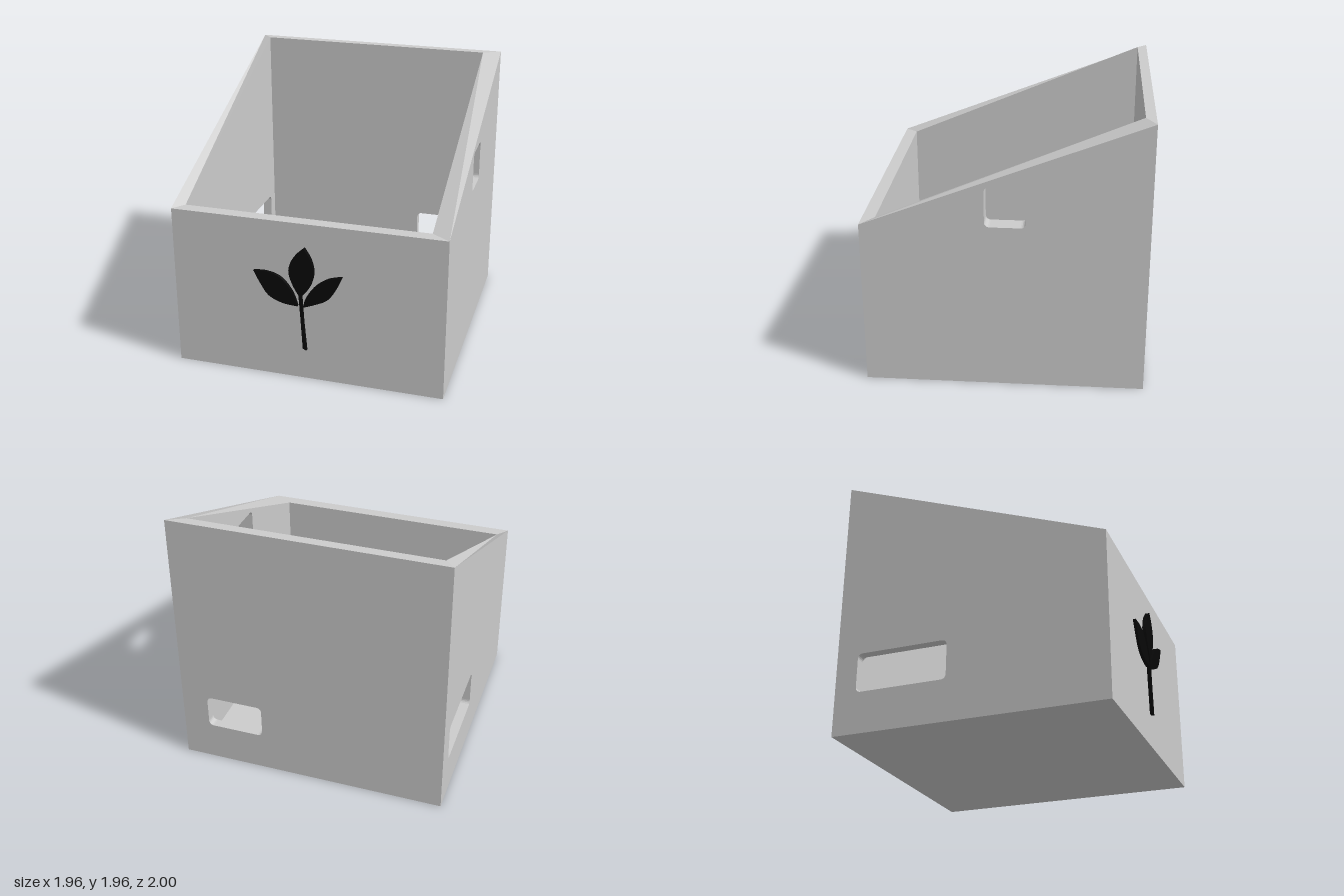
import * as THREE from 'three';

const grey = new THREE.MeshStandardMaterial({ color: 0xcccccc, flatShading: true });
const black = new THREE.MeshStandardMaterial({ color: 0x080808 });
const FLOOR = 0.06, LOW = 1.2, HIGH = 1.96;

// rounded window outline, counter-clockwise
function windowPoints([u0, u1, v0, v1]) {
  const r = 0.035, pts = [];
  const centres = [[u1 - r, v1 - r], [u0 + r, v1 - r], [u0 + r, v0 + r], [u1 - r, v0 + r]];
  centres.forEach(([cu, cv], k) => {
    for (let i = 0; i <= 5; i++) {
      const a = (k + i / 5) * Math.PI / 2;
      pts.push(new THREE.Vector2(cu + r * Math.cos(a), cv + r * Math.sin(a)));
    }
  });
  return pts;
}

// wall facing local +z: outer panel, inset inner panel, sloping rim and window reveal
// outer and inner are [u left, u right, top left, top right]
function wall(name, outer, inner, thick, hole, position, turn) {
  const pos = [];
  const corners = ([a, b, ta, tb], base) =>
    [[a, base], [b, base], [b, tb], [a, ta]].map(p => new THREE.Vector2(...p));
  const out = corners(outer, 0), inn = corners(inner, FLOOR);
  const win = hole ? windowPoints(hole) : [];
  const put = (p, z) => pos.push(p.x, p.y, z);
  const strip = (a, b, c, d) => {
    put(a, 0); put(b, 0); put(c, -thick);
    put(a, 0); put(c, -thick); put(d, -thick);
  };
  const panel = (outline, z, flip) => {
    const all = [...outline, ...win];
    const tris = THREE.ShapeUtils.triangulateShape([...outline], hole ? [[...win]] : []);
    for (const [a, b, c] of tris)
      for (const i of flip ? [a, c, b] : [a, b, c]) put(all[i], z);
  };
  panel(out, 0, false);
  panel(inn, -thick, true);
  strip(out[3], out[2], inn[2], inn[3]);
  win.forEach((p, i) => {
    const q = win[(i + 1) % win.length];
    strip(p, q, q, p);
  });
  const geo = new THREE.BufferGeometry();
  geo.setAttribute('position', new THREE.Float32BufferAttribute(pos, 3));
  geo.computeVertexNormals();
  const mesh = new THREE.Mesh(geo, grey);
  mesh.name = name;
  mesh.position.set(...position);
  mesh.rotation.y = turn;
  return mesh;
}

// horizontal sheet of the floor
function sheet(name, x0, x1, z0, z1, y, up) {
  const mesh = new THREE.Mesh(new THREE.PlaneGeometry(x1 - x0, z1 - z0), grey);
  mesh.name = name;
  mesh.rotation.x = up ? -Math.PI / 2 : Math.PI / 2;
  mesh.position.set((x0 + x1) / 2, y, (z0 + z1) / 2);
  return mesh;
}

// raised sprig piece with a slightly tilted face
function relief(name, points) {
  const geo = new THREE.ExtrudeGeometry(new THREE.Shape(points), { depth: 1, bevelEnabled: false });
  const p = geo.attributes.position;
  for (let i = 0; i < p.count; i++)
    p.setZ(i, p.getZ(i) > 0.5 ? 0.982 + 0.03 * p.getX(i) + 0.01 * p.getY(i) : 0.95);
  geo.computeVertexNormals();
  const mesh = new THREE.Mesh(geo, black);
  mesh.name = name;
  return mesh;
}

// leaf from two smooth sides running tip to base
function leaf(name, tip, sideA, base, sideB) {
  const side = mid => new THREE.SplineCurve(
    [tip, ...mid, base].map(p => new THREE.Vector2(...p))).getPoints(20);
  return relief(name, [...side(sideA), ...side(sideB).reverse().slice(1, -1)]);
}

export function createModel() {
  const model = new THREE.Group();
  model.name = 'planterBox';

  // walls
  model.add(
    wall('frontWall', [-0.98, 0.98, LOW, LOW], [-0.91, 0.85, LOW, LOW], 0.09,
      null, [0, 0, 0.96], 0),
    wall('leftWall', [-0.96, 1, LOW, HIGH], [-0.87, 0.93, LOW, HIGH], 0.13,
      [-0.11, 0.17, 1.21, 1.5], [0.98, 0, 0], Math.PI / 2),
    wall('backWall', [-0.98, 0.98, HIGH, HIGH], [-0.85, 0.91, HIGH, HIGH], 0.07,
      [-0.785, -0.365, 0.29, 0.54], [0, 0, -1], Math.PI),
    wall('rightWall', [-1, 0.96, HIGH, LOW], [-0.93, 0.87, HIGH, LOW], 0.07,
      [-0.84, -0.17, 0.3, 0.585], [-0.98, 0, 0], -Math.PI / 2),
  );

  // floor
  model.add(
    sheet('floorTop', -0.91, 0.85, -0.93, 0.87, FLOOR, true),
    sheet('underside', -0.98, 0.98, -1, 0.96, 0, false),
  );

  // sprig on the front
  const sprig = new THREE.Group();
  sprig.name = 'sprig';
  sprig.add(
    leaf('middleLeaf', [-0.007, 1.03], [[-0.085, 0.95], [-0.12, 0.85], [-0.095, 0.75]], [-0.04, 0.65],
      [[0.04, 0.95], [0.06, 0.85], [0.03, 0.74]]),
    leaf('rightLeaf', [-0.38, 0.815], [[-0.33, 0.72], [-0.27, 0.635], [-0.17, 0.592]], [-0.06, 0.582],
      [[-0.28, 0.818], [-0.18, 0.785], [-0.1, 0.69]]),
    leaf('leftLeaf', [0.262, 0.845], [[0.16, 0.815], [0.07, 0.75], [0.005, 0.66]], [-0.02, 0.578],
      [[0.22, 0.75], [0.16, 0.665], [0.07, 0.615]]),
    relief('stem', [[-0.05, 0.665], [-0.04, 0.5], [-0.027, 0.25], [0, 0.237], [-0.018, 0.45], [-0.03, 0.665]]
      .map(p => new THREE.Vector2(...p))),
  );
  model.add(sprig);
  return model;
}
